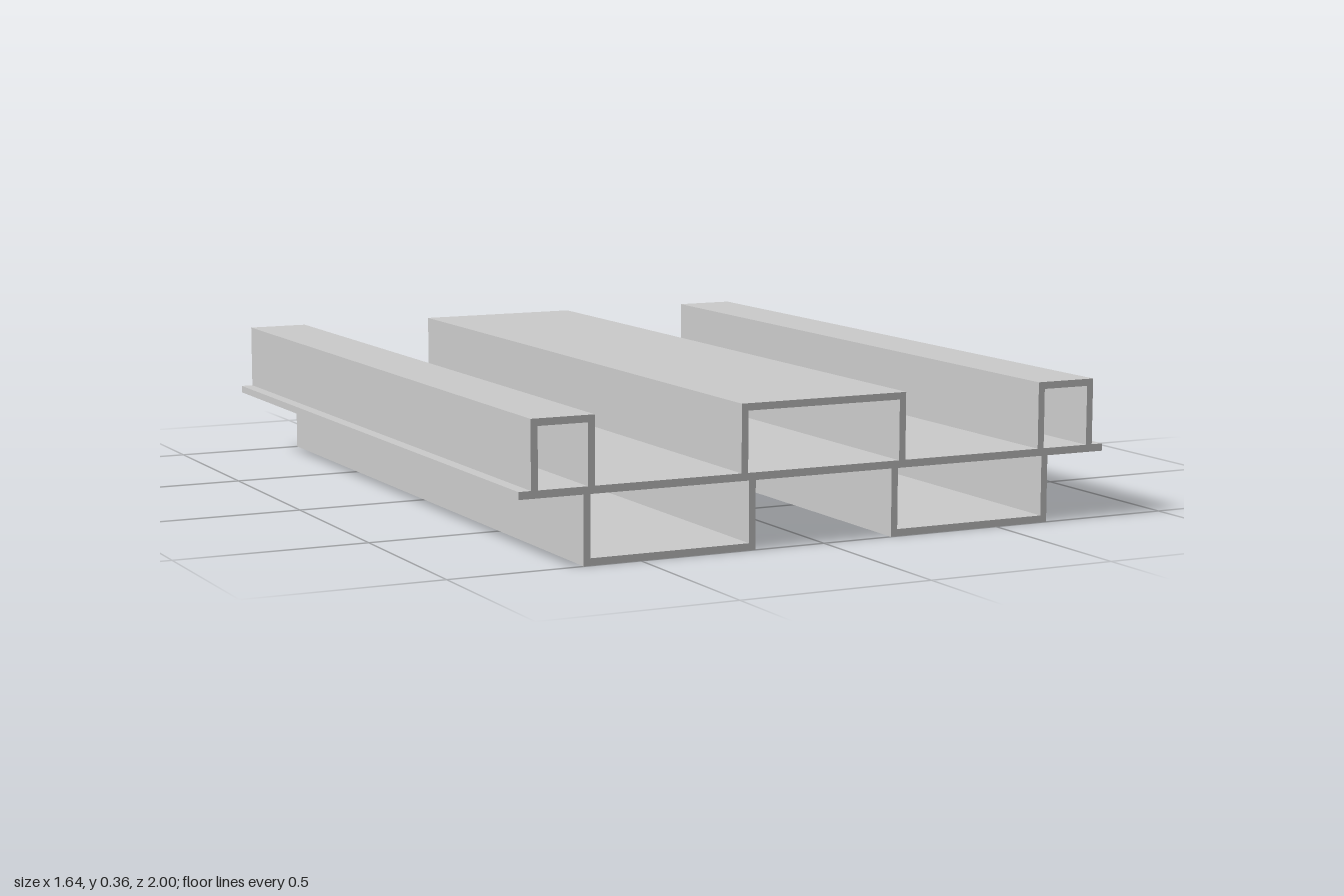
import * as THREE from 'three';

const LENGTH = 2;
const WALL = 0.018;
const PLATE_BOTTOM = 0.172;
const PLATE_TOP = 0.191;
const HEIGHT = 0.361;

const material = new THREE.MeshStandardMaterial({ color: 0xcccccc, flatShading: true });

// U-shaped channel: its legs start at yOpen, its web lies at yWeb (above or below)
function channel(name, centerX, width, yOpen, yWeb) {
  const h = width / 2;
  const inner = h - WALL;
  const yInner = yWeb - Math.sign(yWeb - yOpen) * WALL;
  const profile = new THREE.Shape([
    [-h, yOpen], [-h, yWeb], [h, yWeb], [h, yOpen],
    [inner, yOpen], [inner, yInner], [-inner, yInner], [-inner, yOpen],
  ].map(([x, y]) => new THREE.Vector2(x, y)));
  const geometry = new THREE.ExtrudeGeometry(profile, { depth: LENGTH, bevelEnabled: false });
  geometry.translate(centerX, 0, -LENGTH / 2);
  const mesh = new THREE.Mesh(geometry, material);
  mesh.name = name;
  return mesh;
}

export function createModel() {
  const group = new THREE.Group();
  group.name = 'ribbedDeck';

  // Flat middle sheet
  const thickness = PLATE_TOP - PLATE_BOTTOM;
  const plate = new THREE.Mesh(new THREE.BoxGeometry(1.636, thickness, LENGTH), material);
  plate.position.y = PLATE_BOTTOM + thickness / 2;
  plate.name = 'middlePlate';
  group.add(plate);

  // Wide channel on top of the sheet
  group.add(channel('upperCenterChannel', 0, 0.46, PLATE_TOP, HEIGHT));

  // Narrow upper edge channels and wide lower channels, mirrored
  for (const [side, s] of [['Left', 1], ['Right', -1]]) {
    group.add(channel(`upper${side}Channel`, s * 0.7035, 0.165, PLATE_TOP, HEIGHT));
    group.add(channel(`lower${side}Channel`, s * 0.421, 0.46, PLATE_BOTTOM, 0));
  }
  return group;
}
